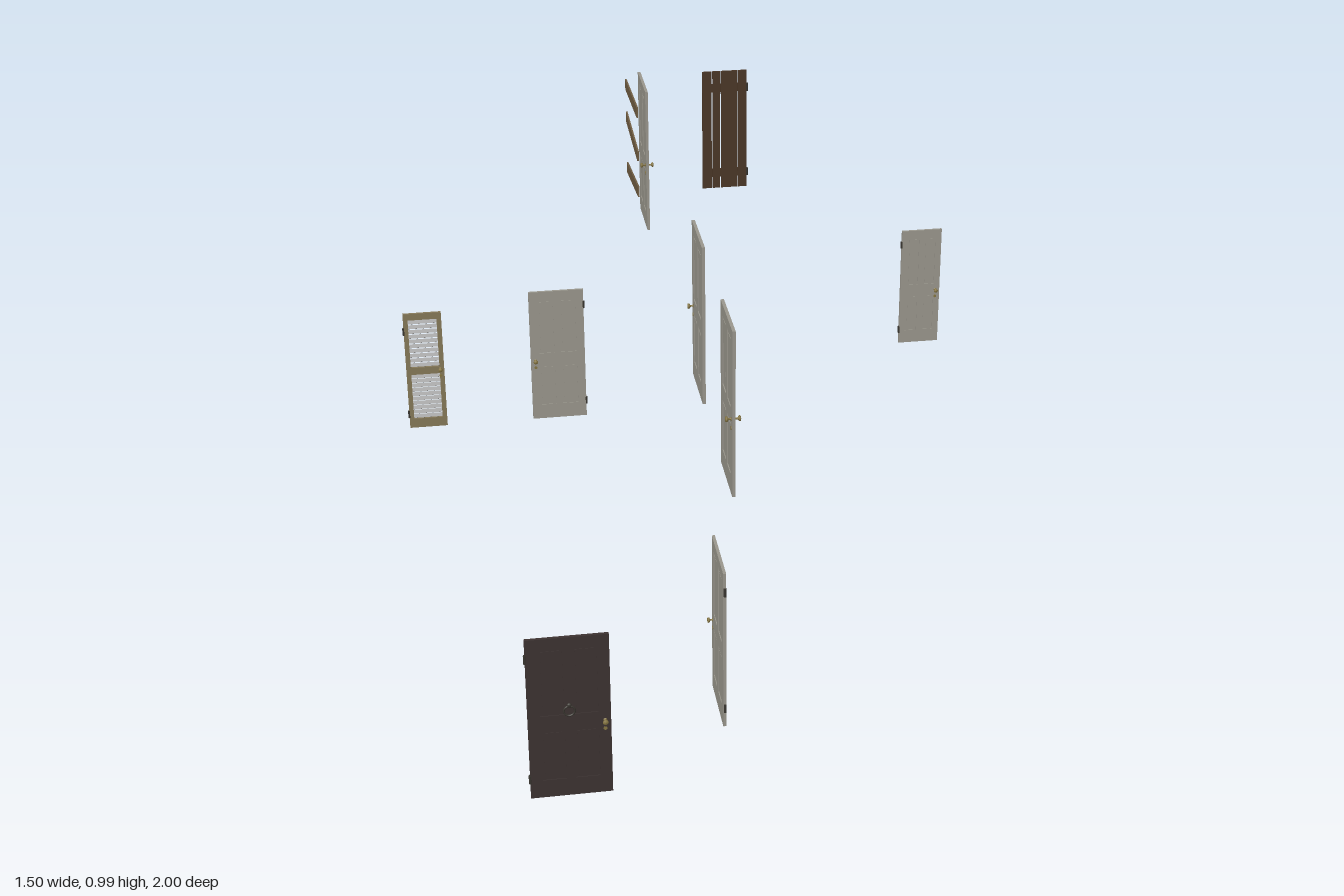
import * as THREE from 'three';

const material = (color) => new THREE.MeshStandardMaterial({ color });
const grey = material(0x99968c), dark = material(0x3c3231), brown = material(0x4a3626);
const tan = material(0x857858), slatGrey = material(0x8c8c8c), plankWood = material(0x6e5c42);
const brass = material(0x857542), iron = material(0x38352f);

function box(parent, name, mat, w, h, d, x, y, z = 0) {
  const mesh = new THREE.Mesh(new THREE.BoxGeometry(w, h, d), mat);
  mesh.name = name;
  mesh.position.set(x, y, z);
  parent.add(mesh);
  return mesh;
}

// Turned knob on a spindle, with keyhole plates, on both faces
function addKnob(door, x, y) {
  const points = [[0, 0], [0.004, 0], [0.004, 0.001], [0.0018, 0.002], [0.0018, 0.006],
    [0.005, 0.008], [0.006, 0.010], [0.005, 0.012], [0, 0.013]];
  const profile = new THREE.LatheGeometry(points.map((p) => new THREE.Vector2(...p)), 12);
  for (const side of [1, -1]) {
    const knob = new THREE.Mesh(profile, brass);
    knob.name = 'knob';
    knob.rotation.x = side * Math.PI / 2;
    knob.position.set(x, y, side * 0.003);
    door.add(knob);
    const plate = new THREE.Mesh(new THREE.CylinderGeometry(0.004, 0.004, 0.0014, 10), brass);
    plate.name = 'keyholePlate';
    plate.rotation.x = Math.PI / 2;
    plate.position.set(x, y - 0.02, side * 0.0037);
    door.add(plate);
  }
}

// Barrel hinges along one edge
function addHinges(door, x, heights) {
  for (const y of heights) {
    const hinge = new THREE.Mesh(new THREE.CylinderGeometry(0.003, 0.003, 0.02, 8), iron);
    hinge.name = 'hinge';
    hinge.position.set(x, y, 0.001);
    door.add(hinge);
  }
}

// Four-panel door: stiles, rails, mullions and recessed panels with raised fields
function panelDoor({ name, w, h, knob, mat = grey, hinges = true }) {
  const door = new THREE.Group();
  door.name = name;
  const stile = w * 0.15, mullion = w * 0.12, t = 0.0065;
  const rails = [[0, h * 0.11], [h * 0.425, h * 0.52], [h * 0.935, h]];
  const panelW = (w - 2 * stile - mullion) / 2;
  for (const s of [-1, 1])
    box(door, 'stile', mat, stile, h, t, s * (w - stile) / 2, h / 2);
  for (const [a, b] of rails)
    box(door, 'rail', mat, w - 2 * stile, b - a, t, 0, (a + b) / 2);
  for (let i = 0; i < 2; i++) {
    const a = rails[i][1], b = rails[i + 1][0], mid = (a + b) / 2;
    box(door, 'mullion', mat, mullion, b - a, t, 0, mid);
    for (const s of [-1, 1]) {
      const x = s * (mullion + panelW) / 2;
      box(door, 'panel', mat, panelW, b - a, 0.003, x, mid);
      box(door, 'raisedField', mat, panelW - 0.011, b - a - 0.011, 0.0048, x, mid);
    }
  }
  addKnob(door, knob * (w / 2 - 0.012), h * 0.465);
  if (hinges) addHinges(door, -knob * (w / 2), [h * 0.12, h * 0.88]);
  return door;
}

// Louvred door with two banks of tilted slats
function louvreDoor(w, h) {
  const door = new THREE.Group();
  door.name = 'louvreDoor';
  const stile = 0.012, rails = [[0, 0.026], [0.155, 0.175], [0.312, h]];
  for (const s of [-1, 1])
    box(door, 'stile', tan, stile, h, 0.0065, s * (w - stile) / 2, h / 2);
  for (const [a, b] of rails)
    box(door, 'rail', tan, w - 2 * stile, b - a, 0.0065, 0, (a + b) / 2);
  for (let i = 0; i < 2; i++) {
    const a = rails[i][1], b = rails[i + 1][0], count = 10;
    for (let k = 0; k < count; k++) {
      const slat = box(door, 'slat', slatGrey, w - 2 * stile, 0.01, 0.0015,
        0, a + (b - a) * (k + 0.5) / count);
      slat.rotation.x = -0.6;
    }
  }
  addKnob(door, w / 2 - 0.01, 0.168);
  addHinges(door, -w / 2, [0.04, 0.28]);
  return door;
}

// Ledged door of vertical boards
function boardDoor(w, h) {
  const door = new THREE.Group();
  door.name = 'boardDoor';
  const edges = [0, 0.22, 0.41, 0.79, 1], gap = 0.0025;
  for (let i = 0; i < 4; i++) {
    const a = edges[i] * w + (i ? gap / 2 : 0), b = edges[i + 1] * w - (i < 3 ? gap / 2 : 0);
    box(door, 'board', brown, b - a, h, 0.004, (a + b) / 2 - w / 2, h / 2);
  }
  for (const y of [0.04, h - 0.045])
    box(door, 'ledge', brown, w * 0.94, 0.022, 0.002, 0, y, -0.003);
  addHinges(door, w / 2 + 0.001, [0.04, h - 0.045]);
  return door;
}

// Ring knocker with its mount
function doorKnocker() {
  const knocker = new THREE.Group();
  knocker.name = 'doorKnocker';
  const ring = new THREE.Mesh(new THREE.TorusGeometry(0.011, 0.002, 8, 20), iron);
  ring.name = 'knockerRing';
  const mount = new THREE.Mesh(new THREE.SphereGeometry(0.005, 10, 8), iron);
  mount.name = 'knockerMount';
  mount.position.y = 0.013;
  mount.scale.z = 0.6;
  knocker.add(ring, mount);
  return knocker;
}

export function createModel() {
  const model = new THREE.Group();
  model.name = 'doorSet';
  const place = (part, x, y, z, sideways = false) => {
    part.position.set(x, y, z);
    if (sideways) part.rotation.y = Math.PI / 2;
    model.add(part);
  };

  // Doors facing front
  place(louvreDoor(0.098, 0.33), -0.698, 0, -0.692);
  place(panelDoor({ name: 'darkDoor', w: 0.166, h: 0.378, knob: 1, mat: dark }), -0.476, 0.005, 0.934);
  place(doorKnocker(), -0.48, 0.253, 0.998);
  place(panelDoor({ name: 'wideGreyDoor', w: 0.142, h: 0.368, knob: -1 }), -0.352, 0, -0.692);
  place(panelDoor({ name: 'narrowGreyDoor', w: 0.112, h: 0.342, knob: 1 }), 0.689, 0, -0.985);
  place(boardDoor(0.113, 0.313), 0.092, 0.625, -0.7);

  // Doors facing sideways
  place(panelDoor({ name: 'lowerSideDoor', w: 0.154, h: 0.378, knob: 1 }), -0.135, 0, 0.672, true);
  const upper = [[0.796, -1], [0.404, 1], [-0.523, -1]];
  for (const [z, knob] of upper)
    place(panelDoor({ name: 'upperSideDoor', w: 0.144, h: 0.358, knob, hinges: false }),
      -0.135, 0.627, z, true);

  // Planks boarded across the last side door
  const planks = [[0.945, 0.05], [0.848, -0.07], [0.734, 0.12]];
  for (const [y, tilt] of planks) {
    const plank = box(model, 'barricadePlank', plankWood, 0.004, 0.026, 0.232, -0.163, y, -0.522);
    plank.rotation.x = -tilt;
  }
  return model;
}
